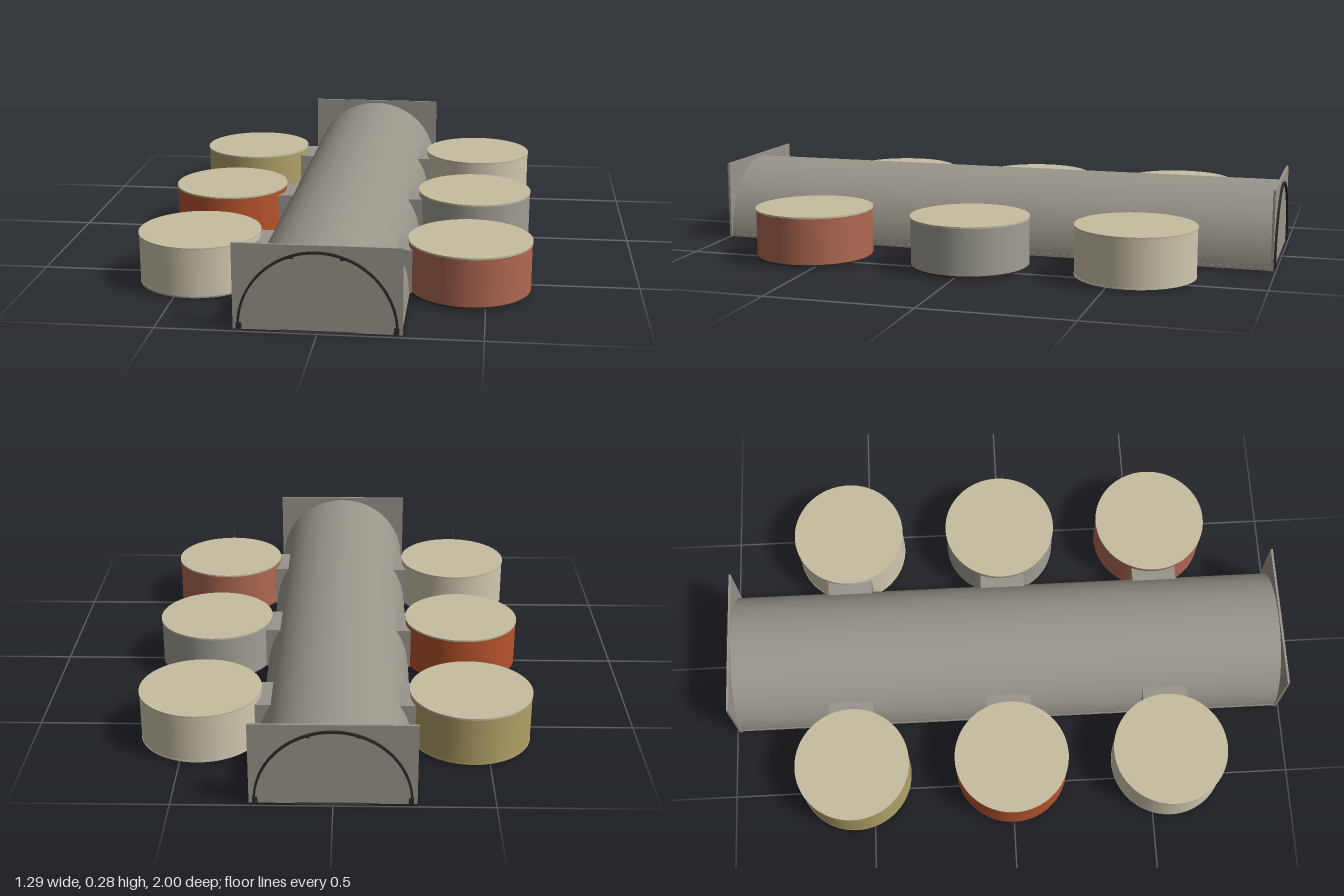
import * as THREE from 'three';

const mat = (name, color) => {
  const m = new THREE.MeshStandardMaterial({ color });
  m.name = name;
  return m;
};

export function createModel() {
  const concrete = mat('concrete', 0x9a958b);
  const cap = mat('sandCap', 0xc6bea0);
  const cream = mat('creamWall', 0xd0c8b0);
  const red = mat('brickRed', 0xb06852);
  const orange = mat('rustOrange', 0xb5532c);
  const olive = mat('oliveYellow', 0xb0a068);
  const grey = mat('steelGrey', 0xa09e94);
  const walkway = mat('walkwayDark', 0x444444);
  const black = mat('black', 0x2a2a2a);
  const maroon = mat('darkMaroon', 0x40262a);

  const model = new THREE.Group();
  const add = (name, geo, material, x = 0, y = 0, z = 0, parent = model) => {
    const m = new THREE.Mesh(geo, material);
    m.name = name;
    m.position.set(x, y, z);
    parent.add(m);
    return m;
  };
  const box = (w, h, d) => new THREE.BoxGeometry(w, h, d);

  // Vaulted corridor: half cylinder standing on a thin slab
  const R = 0.252, baseY = 0.015, endZ = 0.985;
  const vault = new THREE.CylinderGeometry(R, R, endZ * 2, 64, 1, true, 0, Math.PI);
  vault.rotateZ(Math.PI / 2).rotateY(Math.PI / 2);
  // bring the half shell upright: the cylinder axis along z, the arch above the slab
  const p = vault.attributes.position, n = vault.attributes.normal, uv = vault.attributes.uv;
  for (let i = 0; i < p.count; i++) {
    const a = uv.getX(i) * Math.PI;
    const z = (uv.getY(i) - 0.5) * 2 * endZ;
    p.setXYZ(i, Math.cos(a) * R, Math.sin(a) * R, z);
    n.setXYZ(i, Math.cos(a), Math.sin(a), 0);
  }
  const shellMat = concrete;
  shellMat.side = THREE.DoubleSide;
  add('corridorVault', vault, shellMat, 0, baseY, 0);
  add('corridorFloor', box(0.508, 0.01, endZ * 2), concrete, 0, 0.01, 0);
  add('floorWalkway', box(0.235, 0.008, 1.986), walkway, 0, 0.004, 0);

  // End walls with an arch rib, rib feet and lamps
  for (const s of [1, -1]) {
    const end = new THREE.Group();
    end.name = s > 0 ? 'frontEnd' : 'backEnd';
    if (s < 0) end.rotation.y = Math.PI;
    model.add(end);
    add('endWall', box(0.516, 0.273, 0.008), concrete, 0, 0.1415, 0.988, end);
    const rib = new THREE.Shape();
    rib.absarc(0, 0, 0.245, 0, Math.PI, false);
    rib.absarc(0, 0, 0.238, Math.PI, 0, true);
    const ribGeo = new THREE.ExtrudeGeometry(rib, { depth: 0.01, bevelEnabled: false, curveSegments: 40 });
    add('archRib', ribGeo, black, 0, baseY, 0.99, end);
    for (const x of [-1, 1]) {
      add('ribFoot', box(0.016, 0.018, 0.01), black, x * 0.239, 0.018, 0.995, end);
      add('lamp', box(0.026, 0.005, 0.004), black, x * 0.083, 0.237, 0.993, end);
    }
  }

  // Round side rooms: wall colour, floor colour, side, position along the corridor
  const rooms = [
    ['rightRowFrontRoom', cream, concrete, -1, 0.565],
    ['rightRowMiddleRoom', orange, black, -1, 0],
    ['rightRowBackRoom', olive, olive, -1, -0.565],
    ['leftRowFrontRoom', red, black, 1, 0.565],
    ['leftRowMiddleRoom', grey, maroon, 1, 0],
    ['leftRowBackRoom', cream, cream, 1, -0.565],
  ];
  const wallGeo = new THREE.CylinderGeometry(0.2, 0.2, 0.157, 64);
  const capGeo = new THREE.CylinderGeometry(0.202, 0.202, 0.006, 64);
  const floorGeo = new THREE.CylinderGeometry(0.201, 0.201, 0.005, 64);
  for (const [name, wall, floor, s, z] of rooms) {
    const room = new THREE.Group();
    room.name = name;
    room.position.set(s * 0.445, 0, z);
    model.add(room);
    add('roomWall', wallGeo, wall, 0, 0.0925, 0, room);
    add('roomCap', capGeo, cap, 0, 0.174, 0, room);
    add('roomFloor', floorGeo, floor, 0, 0.0115, 0, room);
    // Doorway passage into the corridor
    add('passage', box(0.1, 0.145, 0.16), concrete, -s * 0.215, 0.0825, 0, room);
    // Small floor bolts beside the doorway
    for (const dz of [-0.06, 0.06])
      add('floorBolt', box(0.012, 0.004, 0.012), black, -s * 0.215, 0.0035, dz, room);
  }
  return model;
}
